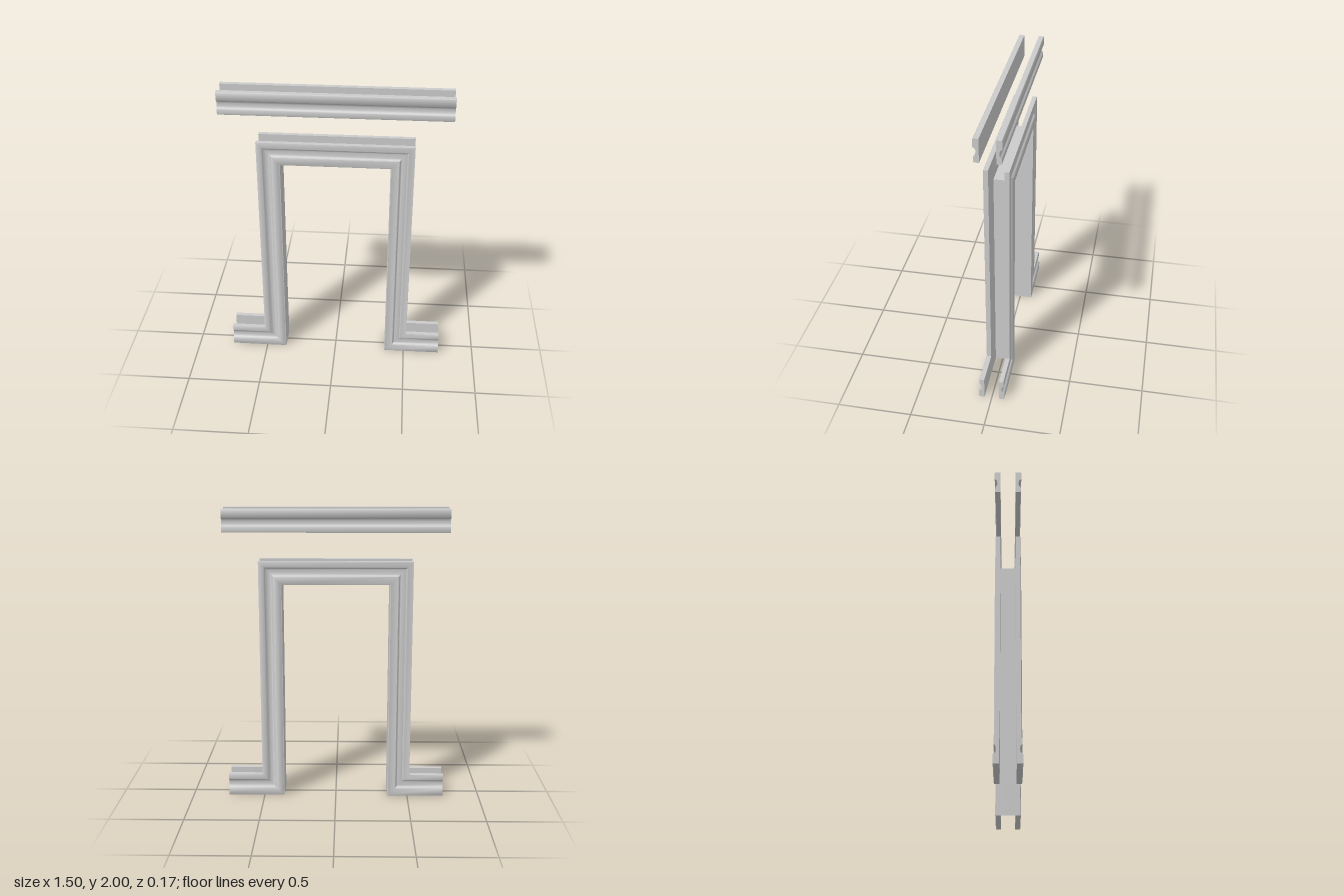
import * as THREE from 'three';
import { toCreasedNormals } from 'three/addons/utils/BufferGeometryUtils.js';

const material = new THREE.MeshStandardMaterial({ color: 0xcccccc });
const sheetMaterial = new THREE.MeshStandardMaterial({ color: 0xcccccc, side: THREE.DoubleSide });

// Doorway and moulding sizes
const HALF = 0.75, DOOR = 0.36, DOOR_TOP = 1.5, WALL = 0.05;

// Moulding cross-section: [distance from the inner edge, z]
const profile = [
  [0, WALL], [0, 0.083], [0.006, 0.087], [0.055, 0.087],
  [0.06, 0.083], [0.063, 0.076], [0.07, 0.071], [0.08, 0.069], [0.094, 0.069],
  [0.104, 0.071], [0.11, 0.075], [0.113, 0.08], [0.12, 0.083],
  [0.148, 0.083], [0.155, 0.08], [0.155, WALL],
];

// Sweeps the profile along stations [x, y, miter x, miter y], closing both ends
function sweepMoulding(stations) {
  const positions = [];
  const point = ([x, y, mx, my], [w, z]) => [x + mx * w, y + my * w, z];
  const n = profile.length;
  for (let i = 0; i < stations.length - 1; i++) {
    for (let j = 0; j < n; j++) {
      const k = (j + 1) % n;
      const a = point(stations[i], profile[j]);
      const b = point(stations[i + 1], profile[j]);
      const c = point(stations[i + 1], profile[k]);
      const d = point(stations[i], profile[k]);
      positions.push(...a, ...b, ...c, ...a, ...c, ...d);
    }
  }
  const contour = profile.map(([w, z]) => new THREE.Vector2(z, w));
  const last = stations[stations.length - 1];
  for (const [a, b, c] of THREE.ShapeUtils.triangulateShape(contour, [])) {
    for (const q of [a, b, c]) positions.push(...point(stations[0], profile[q]));
    for (const q of [c, b, a]) positions.push(...point(last, profile[q]));
  }
  const geometry = new THREE.BufferGeometry();
  geometry.setAttribute('position', new THREE.Float32BufferAttribute(positions, 3));
  return toCreasedNormals(geometry, 0.7);
}

export function createModel() {
  const model = new THREE.Group();
  const add = (name, geometry, mat = material) => {
    const mesh = new THREE.Mesh(geometry, mat);
    mesh.name = name;
    model.add(mesh);
    return mesh;
  };

  // Baseboard, door casing and baseboard in one mitred run
  const casing = sweepMoulding([
    [-HALF, 0, 0, 1], [-DOOR, 0, -1, 1], [-DOOR, DOOR_TOP, -1, 1],
    [DOOR, DOOR_TOP, 1, 1], [DOOR, 0, 1, 1], [HALF, 0, 0, 1],
  ]);

  // Crown moulding: the same profile hung upside down
  const crown = sweepMoulding([[HALF, 2, 0, -1], [-HALF, 2, 0, -1]]);

  // One set on each side of the wall
  for (const [side, angle] of [['front', 0], ['back', Math.PI]]) {
    add(side + 'CasingAndBaseboard', casing).rotation.y = angle;
    add(side + 'CrownMoulding', crown).rotation.y = angle;
  }

  // Thin jamb lining across the wall thickness
  for (const [name, s] of [['leftJamb', 1], ['rightJamb', -1]]) {
    const jamb = add(name, new THREE.PlaneGeometry(2 * WALL, DOOR_TOP), sheetMaterial);
    jamb.position.set(s * DOOR, DOOR_TOP / 2, 0);
    jamb.rotation.y = -s * Math.PI / 2;
  }
  const head = add('headJamb', new THREE.PlaneGeometry(2 * DOOR, 2 * WALL), sheetMaterial);
  head.position.y = DOOR_TOP;
  head.rotation.x = Math.PI / 2;

  return model;
}
